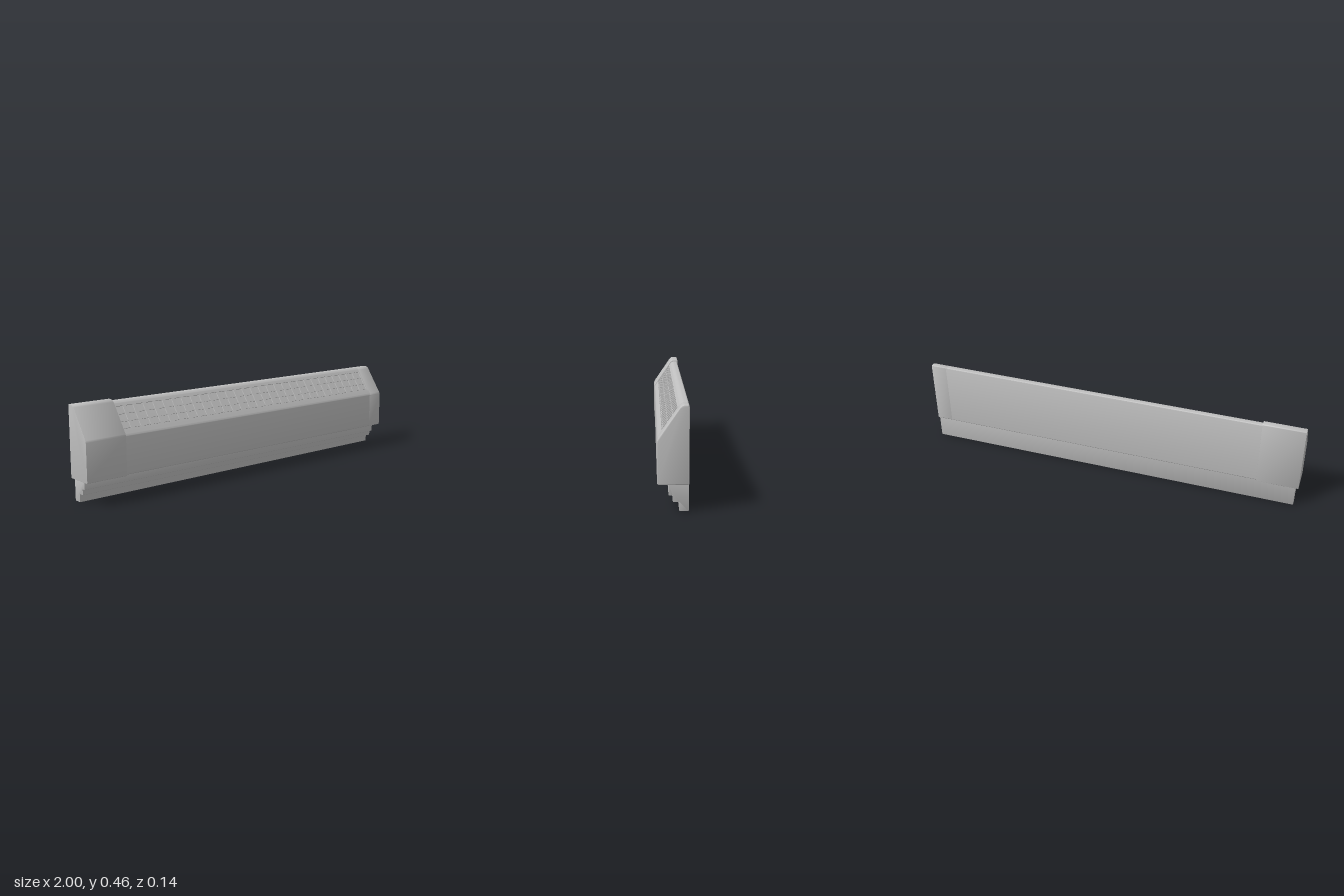
import * as THREE from 'three';
import { toCreasedNormals } from 'three/addons/utils/BufferGeometryUtils.js';

// Points are [z, y, cornerRadius]; the outline is swept along x.
function roundedShape(points) {
  const shape = new THREE.Shape();
  const v = points.map(([z, y]) => new THREE.Vector2(-z, y));
  const toward = (p, q, r) => p.clone().add(q.clone().sub(p).setLength(r));
  points.forEach(([, , r = 0], i) => {
    const p = v[i];
    const a = toward(p, v.at(i - 1), r);
    const b = toward(p, v[(i + 1) % v.length], r);
    if (i === 0) shape.moveTo(a.x, a.y);
    else shape.lineTo(a.x, a.y);
    if (r > 0) shape.quadraticCurveTo(p.x, p.y, b.x, b.y);
  });
  shape.closePath();
  return shape;
}

function sweep(name, points, x0, x1, bevel, material) {
  const geometry = new THREE.ExtrudeGeometry(roundedShape(points), {
    depth: x1 - x0 - 2 * bevel,
    curveSegments: 5,
    bevelEnabled: bevel > 0,
    bevelSize: bevel,
    bevelThickness: bevel,
    bevelOffset: -bevel,
    bevelSegments: 2,
  });
  geometry.rotateY(Math.PI / 2).translate(x0 + bevel, 0, 0);
  const mesh = new THREE.Mesh(toCreasedNormals(geometry, 0.6), material);
  mesh.name = name;
  return mesh;
}

export function createModel() {
  const model = new THREE.Group();
  model.name = 'baseboardHeater';
  const grey = new THREE.MeshStandardMaterial({ color: 0xbfbfbf });
  grey.name = 'light grey';

  // Sloping front of the cover, and the channel that holds the grille
  const low = new THREE.Vector2(0.069, 0.302);
  const high = new THREE.Vector2(-0.035, 0.452);
  const along = high.clone().sub(low).normalize();
  const normal = new THREE.Vector2(along.y, -along.x);
  const s0 = 0.03, s1 = 0.16, depth = 0.006;
  const onSlope = (s, sink) => low.clone().addScaledVector(along, s).addScaledVector(normal, -sink).toArray();

  const bottomFront = [0.069, 0.115, 0.008];
  const slopeLow = [...low.toArray(), 0.01];
  const slopeHigh = [...high.toArray(), 0.015];
  const back = [[-0.067, 0.452, 0.008], [-0.067, 0.115, 0.006]];
  const channel = [onSlope(s0, 0), onSlope(s0, depth), onSlope(s1, depth), onSlope(s1, 0)];

  model.add(
    sweep('cover', [bottomFront, slopeLow, ...channel, slopeHigh, ...back], -0.8, 0.915, 0, grey),
    sweep('coverEnd', [bottomFront, slopeLow, slopeHigh, ...back], 0.905, 1, 0.004, grey),
    sweep('endCap', [
      [0.072, 0.11, 0.008], [0.072, 0.306, 0.01], [-0.033, 0.46, 0.015],
      [-0.071, 0.46, 0.008], [-0.071, 0.11, 0.006],
    ], -1, -0.785, 0.002, grey),
    // Stepped moulding underneath
    sweep('steppedBase', [
      [0.021, 0.118], [0.021, 0.068, 0.004], [0.003, 0.068, 0.002], [0.003, 0.04, 0.004],
      [-0.024, 0.04, 0.002], [-0.024, 0, 0.004], [-0.065, 0, 0.004], [-0.065, 0.118],
    ], -0.985, 0.992, 0.002, grey),
  );

  // Grille lies in the plane of the slope
  const grille = new THREE.Group();
  grille.name = 'grille';
  const [z, y] = onSlope(s0, depth);
  grille.position.set(0, y, z);
  grille.rotation.x = Math.atan2(high.x - low.x, high.y - low.y);
  model.add(grille);

  const panel = new THREE.Shape();
  const height = s1 - s0;
  panel.moveTo(-0.8, 0).lineTo(0.914, 0).lineTo(0.914, height).lineTo(-0.8, height).closePath();
  const count = 30, pitch = 0.0567, slot = 0.04;
  for (let i = 0; i < count; i++) {
    const x = -0.78 + i * pitch;
    const hole = new THREE.Path();
    hole.moveTo(x, 0.006).lineTo(x, height - 0.006).lineTo(x + slot, height - 0.006).lineTo(x + slot, 0.006).closePath();
    panel.holes.push(hole);
  }
  const slots = new THREE.Mesh(new THREE.ExtrudeGeometry(panel, { depth, bevelEnabled: false }), grey);
  slots.name = 'slottedPanel';
  grille.add(slots);

  // Horizontal rods behind the slots
  for (const s of [0.012, 0.047, 0.086]) {
    const rod = new THREE.Mesh(new THREE.BoxGeometry(1.7, 0.006, 0.004), grey);
    rod.name = 'grilleRod';
    rod.position.set(0.06, s, 0.002);
    grille.add(rod);
  }
  return model;
}
